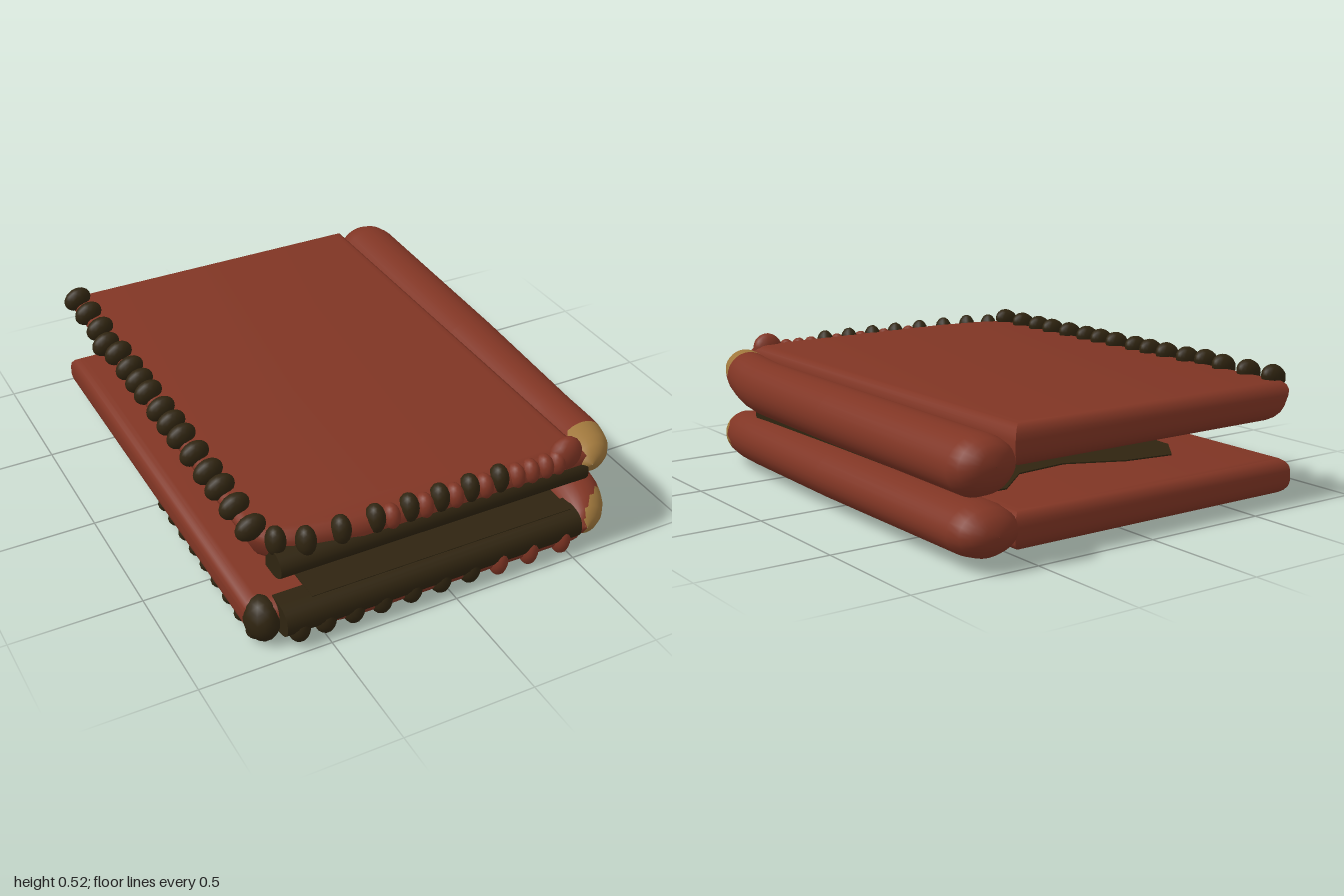
import * as THREE from 'three';
import { toCreasedNormals } from 'three/addons/utils/BufferGeometryUtils.js';

const mat = (name, color) => {
  const m = new THREE.MeshStandardMaterial({ color });
  m.name = name;
  return m;
};

export function createModel() {
  const red = mat('redLeather', 0x803524);
  const dark = mat('darkLeather', 0x2f2410);
  const tan = mat('tanCorner', 0x9f773c);
  const root = new THREE.Group();
  root.name = 'foldedCase';

  const add = (name, geometry, material, parent) => {
    const mesh = new THREE.Mesh(geometry, material);
    mesh.name = name;
    parent.add(mesh);
    return mesh;
  };

  // Horizontal plate from an outline of [x, z] points, with a rounded rim
  const plate = (points, y0, y1, bevel) => {
    const shape = new THREE.Shape(points.map(([x, z]) => new THREE.Vector2(x, -z)));
    const g = new THREE.ExtrudeGeometry(shape, {
      depth: y1 - y0 - 2 * bevel, bevelEnabled: bevel > 0, bevelThickness: bevel,
      bevelSize: bevel, bevelOffset: -bevel, bevelSegments: 4,
    });
    g.rotateX(-Math.PI / 2);
    g.translate(0, y0 + bevel, 0);
    return g;
  };

  // Dark front edge: rounded profile swept along x
  const frontRim = (y0, y1, x0, x1) => {
    const s = new THREE.Shape();
    s.moveTo(-0.86, y0);
    s.lineTo(-0.92, y0);
    s.quadraticCurveTo(-0.985, y0 + 0.01, -0.985, (y0 + y1) / 2);
    s.quadraticCurveTo(-0.985, y1 - 0.005, -0.92, y1);
    s.lineTo(-0.86, y1);
    s.closePath();
    const g = new THREE.ExtrudeGeometry(s, { depth: x1 - x0, bevelEnabled: false, curveSegments: 5 });
    g.rotateY(Math.PI / 2);
    g.translate(x0, 0, 0);
    return toCreasedNormals(g, 0.7);
  };

  // Elliptical roll lofted along z; stations are [z, cx, cy, rx, ry].
  // Faces inside the corner ellipsoid use the tan material.
  const roll = (stations, corner) => {
    const N = 28, pos = [], idx = [[], []];
    for (const [z, cx, cy, rx, ry] of stations) {
      for (let i = 0; i < N; i++) {
        const a = (i / N) * Math.PI * 2;
        pos.push(cx + rx * Math.cos(a), cy + ry * Math.sin(a), z);
      }
    }
    const face = (...f) => {
      const c = [0, 1, 2].map((k) => f.reduce((s, v) => s + pos[v * 3 + k], 0) / 3);
      const d = Math.hypot(...c.map((v, k) => (v - corner.c[k]) / corner.r[k]));
      idx[d < 1 ? 1 : 0].push(...f);
    };
    for (let j = 0; j < stations.length - 1; j++) {
      for (let i = 0; i < N; i++) {
        const a = j * N + i, b = j * N + ((i + 1) % N);
        face(a, b, b + N);
        face(a, b + N, a + N);
      }
    }
    const g = new THREE.BufferGeometry();
    g.setAttribute('position', new THREE.Float32BufferAttribute(pos, 3));
    g.setIndex([...idx[0], ...idx[1]]);
    g.addGroup(0, idx[0].length, 0);
    g.addGroup(idx[0].length, idx[1].length, 1);
    g.computeVertexNormals();
    return g;
  };

  const bumpGeometry = new THREE.IcosahedronGeometry(1, 2);
  const bump = (name, x, y, z, sx, sy, sz, material, parent, tilt = 0) => {
    const m = add(name, bumpGeometry, material, parent);
    m.position.set(x, y, z);
    m.scale.set(sx, sy, sz);
    m.rotation.z = tilt;
  };

  const outline = [[-0.76, -0.92], [0.54, -0.925], [0.54, 0.97], [-0.4, 0.97], [-0.6, 0.94], [-0.71, 0.9], [-0.76, 0.84]];
  const patch = [[-0.54, 0.93], [0.52, 0.93], [0.52, -0.66], [0.38, -0.66], [0.22, -0.52], [0, -0.5],
    [-0.22, -0.6], [-0.42, -0.63], [-0.52, -0.5], [-0.55, 0]];

  // ---- Upper half
  const upper = new THREE.Group();
  upper.name = 'upperHalf';
  root.add(upper);

  // Panel, with its left side leaning inward towards the bottom
  const upperGeo = plate(outline, 0.32, 0.47, 0.055);
  const p = upperGeo.attributes.position;
  for (let i = 0; i < p.count; i++) {
    if (p.getX(i) < -0.4) p.setX(i, p.getX(i) + 0.5 * (0.47 - p.getY(i)));
  }
  add('upperPanel', toCreasedNormals(upperGeo, 0.7), red, upper);
  add('upperLining', plate(patch, 0.315, 0.322, 0), dark, upper);
  add('upperFrontRim', frontRim(0.316, 0.42, -0.68, 0.54), dark, upper);

  add('upperRoll', roll([
    [-0.985, 0.66, 0.36, 0.001, 0.001], [-0.98, 0.66, 0.36, 0.06, 0.045], [-0.96, 0.66, 0.355, 0.095, 0.075],
    [-0.93, 0.66, 0.35, 0.115, 0.095], [-0.88, 0.66, 0.345, 0.127, 0.108], [0, 0.645, 0.345, 0.122, 0.108],
    [0.6, 0.63, 0.345, 0.108, 0.108], [0.7, 0.625, 0.352, 0.106, 0.106], [0.77, 0.62, 0.363, 0.102, 0.1],
    [0.82, 0.615, 0.372, 0.098, 0.093], [0.86, 0.605, 0.38, 0.094, 0.084], [0.9, 0.595, 0.388, 0.086, 0.074],
    [0.94, 0.58, 0.395, 0.07, 0.059], [0.97, 0.565, 0.4, 0.048, 0.038], [0.985, 0.555, 0.4, 0.001, 0.001],
  ], { c: [0.63, 0.415, 0.93], r: [0.12, 0.085, 0.145] }), [red, tan], upper);

  // Laced bumps along the left and front edges
  [-0.85, -0.72, -0.585, -0.465, -0.38, -0.26, -0.16, -0.07, 0.055, 0.155, 0.25, 0.37, 0.49, 0.59, 0.71, 0.84]
    .forEach((z, i) => bump('upperSideBump', -0.722 - (i === 3 ? 0.02 : 0), 0.476, z, 0.058, 0.046, 0.036, dark, upper, 0.45));
  [-0.66, -0.57, -0.44, -0.31, -0.18, -0.06, 0.06, 0.18]
    .forEach((x, i) => bump('upperFrontBump', x, 0.44, i ? 0.945 : 0.9, 0.036, 0.058, 0.042, dark, upper));
  [-0.25, -0.12, 0, 0.12, 0.25, 0.31, 0.37, 0.42]
    .forEach((x) => bump('upperFrontTongue', x, 0.428, 0.945, 0.034, 0.05, 0.042, red, upper));
  bump('upperFrontTongueEnd', 0.465, 0.445, 0.935, 0.065, 0.07, 0.045, red, upper, -0.5);

  // ---- Lower half
  const lower = new THREE.Group();
  lower.name = 'lowerHalf';
  root.add(lower);

  add('lowerPanel', toCreasedNormals(plate(outline, 0.03, 0.17, 0.05), 0.7), red, lower);
  add('lowerLining', plate(patch, 0.168, 0.175, 0), dark, lower);
  add('lowerFrontRim', frontRim(0.05, 0.174, -0.66, 0.54), dark, lower);

  add('lowerRoll', roll([
    [-1, 0.66, 0.13, 0.001, 0.001], [-0.995, 0.66, 0.13, 0.055, 0.035], [-0.975, 0.66, 0.13, 0.095, 0.065],
    [-0.94, 0.66, 0.13, 0.118, 0.085], [-0.88, 0.66, 0.13, 0.128, 0.094], [0, 0.65, 0.128, 0.125, 0.098],
    [0.6, 0.635, 0.126, 0.112, 0.098], [0.74, 0.628, 0.126, 0.108, 0.097], [0.79, 0.622, 0.126, 0.104, 0.095],
    [0.83, 0.618, 0.125, 0.1, 0.092], [0.87, 0.61, 0.123, 0.094, 0.086], [0.91, 0.6, 0.12, 0.084, 0.076],
    [0.95, 0.585, 0.118, 0.066, 0.058], [0.975, 0.57, 0.115, 0.044, 0.036], [0.99, 0.56, 0.115, 0.001, 0.001],
  ], { c: [0.645, 0.115, 0.92], r: [0.105, 0.08, 0.15] }), [red, tan], lower);

  for (let i = 0; i < 9; i++) {
    bump('lowerSideBump', -0.71, 0.045, 0.06 + i * 0.1, 0.05, 0.038, 0.036, dark, lower);
  }
  bump('lowerCornerBump', -0.7, 0.09, 0.86, 0.065, 0.088, 0.08, dark, lower);
  [-0.6, -0.5, -0.39, -0.28, -0.16, -0.04, 0.08]
    .forEach((x) => bump('lowerFrontBump', x, 0.075, 0.945, 0.042, 0.06, 0.045, dark, lower));
  [0.2, 0.33, 0.47]
    .forEach((x) => bump('lowerFrontTongue', x, 0.075, 0.948, 0.036, 0.068, 0.046, red, lower));

  // ---- Thin hinge between the two rolls
  [[0.68, -0.38], [-0.44, -0.6], [-0.66, -0.76]].forEach(([z0, z1]) => {
    const h = add('hinge', new THREE.BoxGeometry(0.035, 0.05, z0 - z1), dark, root);
    h.position.set(0.642, 0.232, (z0 + z1) / 2);
  });

  return root;
}
